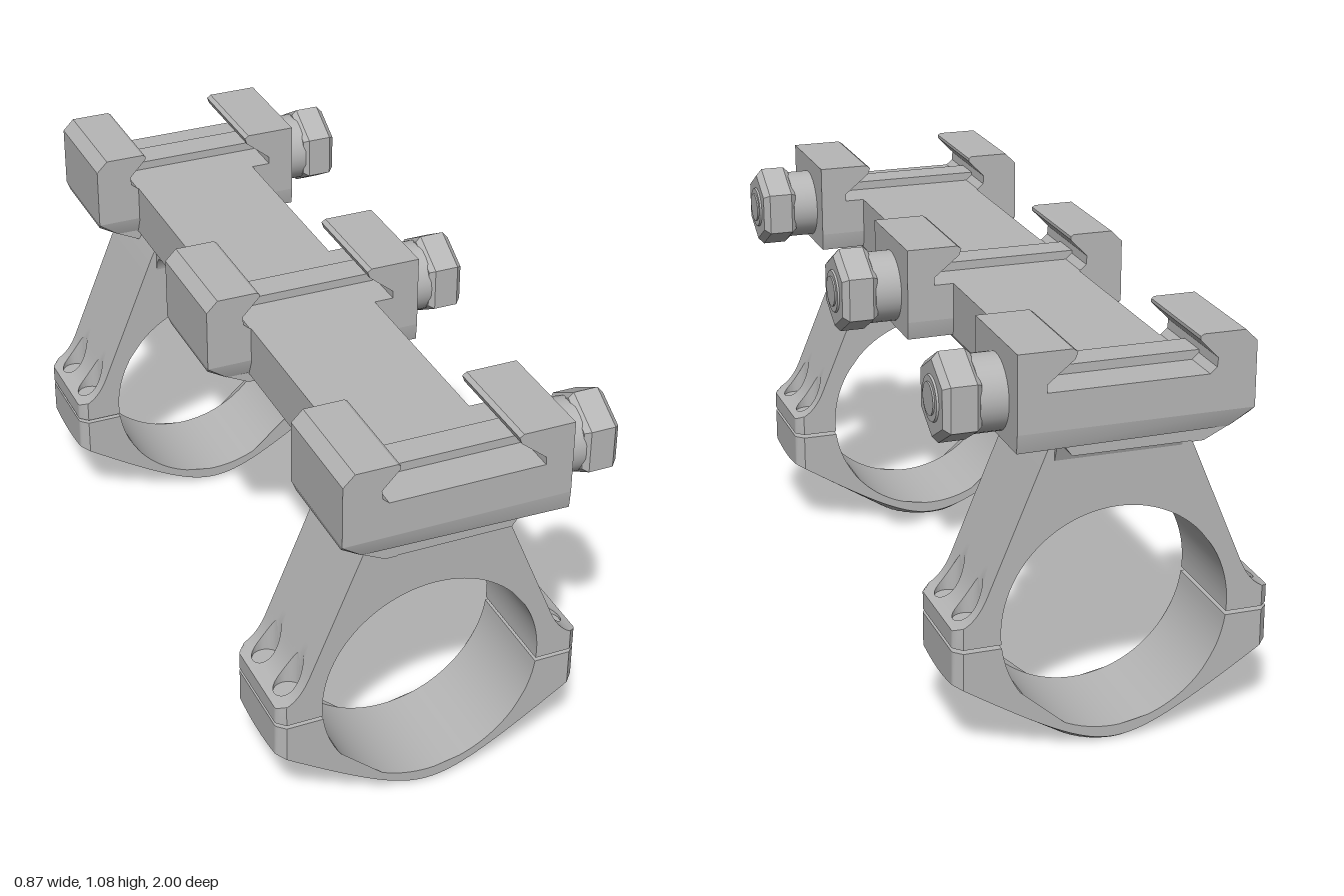
import * as THREE from 'three';
import { toCreasedNormals } from 'three/addons/utils/BufferGeometryUtils.js';

const RING_X = -0.023, RING_Y = 0.333, BORE = 0.295, EAR = 0.412, WIDTH = 0.28;
const HOLE = { x: 0.357, z: 0.07, r: 0.037 };

const shapeOf = pts => new THREE.Shape(pts.map(p => new THREE.Vector2(p[0], p[1])));

// Extrusion along z, centred on z = 0
function extrude(pts, depth, steps = 1) {
  const g = new THREE.ExtrudeGeometry(shapeOf(pts), { depth, steps, bevelEnabled: false });
  return g.translate(0, 0, -depth / 2);
}

// Height of the sloping arm above the ear
function armHeight(x) {
  if (x <= 0.332) return 0.43 + (0.332 - x) * 2.39;
  const t = (EAR - x) / 0.08;
  return 0.352 + 0.03 * t + 0.048 * t ** 3;
}

// Conical underside of the lower cap
const capHeight = (x, z) => Math.max(0, (Math.hypot(x, z) - 0.128) * 0.687);

// x samples from the ear inward, dense where the screw holes are
function samples(end, n) {
  const out = [];
  for (let i = 0; i <= 18; i++) out.push(EAR - i * 0.0062);
  const start = out[18];
  for (let i = 1; i <= n; i++) out.push(start + (end - start) * i / n);
  return out;
}

// Half ring: outer chain mirrored in x, closed by the bore arc
function halfRing(chain, splitY, top, height, floorY) {
  const inner = Math.sqrt(BORE ** 2 - (RING_Y - splitY) ** 2);
  const right = [[inner, splitY], [EAR, splitY], ...chain];
  const left = right.map(([x, y]) => [-x, y]).reverse().filter(p => Math.abs(p[0]) > 1e-6);
  const a = Math.asin((splitY - RING_Y) / BORE);
  const from = Math.PI - a, to = top ? a : 2 * Math.PI + a;
  const arc = [];
  for (let i = 1; i < 48; i++) {
    const t = from + (to - from) * i / 48;
    arc.push([Math.cos(t) * BORE, RING_Y + Math.sin(t) * BORE]);
  }
  const geo = extrude([...right, ...left, ...arc], WIDTH, 56);
  const p = geo.attributes.position, band = 0.0085;
  for (let i = 0; i < p.count; i++) {
    const s = Math.sign(p.getX(i)) || 1;
    let x = Math.abs(p.getX(i)), y = p.getY(i), z = p.getZ(i);
    const onSlope = Math.abs(y - height(x, 0)) < 1e-4 && (!top || x > 0.18);
    // chamfer the ear corners
    x = Math.min(x, EAR - Math.max(0, Math.abs(z) - 0.118));
    if (onSlope) {
      if (!top) y = height(x, z);
      // sink the screw holes, snapping the nearby vertices to the rim
      const zc = Math.sign(z) * HOLE.z;
      const dx = x - HOLE.x, dz = z - zc, d = Math.hypot(dx, dz);
      if (d < HOLE.r + band) {
        const inside = d < HOLE.r;
        if (Math.abs(d - HOLE.r) < band) {
          const k = HOLE.r * (inside ? 1 : 1.01) / d;
          x = HOLE.x + dx * k;
          z = zc + dz * k;
        }
        y = inside ? floorY : height(x, z);
      }
    }
    p.setXYZ(i, s * x, y, z);
  }
  return toCreasedNormals(geo, 0.5);
}

export function createModel() {
  const model = new THREE.Group();
  const metal = new THREE.MeshStandardMaterial({ color: 0xb6b6b6 });
  metal.name = 'grey metal';

  function add(parent, name, geo, x = 0, y = 0, z = 0) {
    const m = new THREE.Mesh(geo, metal);
    m.name = name;
    m.position.set(x, y, z);
    parent.add(m);
    return m;
  }
  // Cylinder or other y-axis shape turned to point along +x
  const alongX = g => g.rotateZ(-Math.PI / 2);

  // Long bar joining the clamps
  add(model, 'bar', extrude([
    [-0.2, 0.98], [-0.2, 0.835], [-0.18, 0.81], [0.13, 0.81], [0.148, 0.835], [0.148, 0.98],
  ], 1.96));

  // Ring halves, shared by both ends
  const upper = halfRing(
    [...samples(0.177, 6).map(x => [x, armHeight(x)]), [0.165, 0.825], [0.17, 0.85]],
    0.305, true, armHeight, 0.352);
  const lower = halfRing(
    samples(0, 20).map(x => [x, capHeight(x, 0)]),
    0.295, false, capHeight, 0.25);

  // Flared neck between arm and bar, drawn in the z-y plane
  const neckShape = [
    [0.61, 0.76], [0.605, 0.785], [0.59, 0.803], [0.56, 0.812], [0.56, 0.85],
    [0.98, 0.85], [0.98, 0.84], [0.935, 0.828], [0.905, 0.805], [0.89, 0.765],
  ].map(([z, y]) => [0.75 - z, y]);
  const neck = toCreasedNormals(extrude(neckShape, 0.325).rotateY(Math.PI / 2), 0.5);

  for (const s of [1, -1]) {
    const ring = new THREE.Group();
    ring.name = s > 0 ? 'frontRing' : 'backRing';
    ring.position.set(RING_X, 0, 0.75 * s);
    if (s < 0) ring.rotation.y = Math.PI;
    if (s < 0) ring.position.x = RING_X;
    add(ring, 'ringArm', upper);
    add(ring, 'ringCap', lower);
    add(ring, 'neck', neck, 0, 0, 0);
    for (const x of [-HOLE.x, HOLE.x]) for (const z of [-HOLE.z, HOLE.z])
      add(ring, 'screwShaft', new THREE.CylinderGeometry(0.036, 0.036, 0.03, 20), x, 0.3, z);
    model.add(ring);
  }

  // Clamp: hooked upper body and tapered base
  const clampBody = extrude([
    [-0.32, 0.885], [0.272, 0.885], [0.272, 1.08], [0.137, 1.08], [0.126, 1.072], [0.132, 1.055],
    [0.2, 1.0], [0.2, 0.98], [-0.203, 0.98], [-0.22, 0.995], [-0.222, 1.018], [-0.176, 1.066],
    [-0.176, 1.075], [-0.184, 1.08], [-0.29, 1.08], [-0.32, 1.05],
  ], 0.3);
  const clampBase = extrude([
    [-0.32, 0.885], [-0.315, 0.868], [-0.262, 0.838], [0.272, 0.838], [0.272, 0.885],
  ], 0.3);
  const bp = clampBase.attributes.position;
  for (let i = 0; i < bp.count; i++)
    if (bp.getY(i) < 0.88) bp.setZ(i, bp.getZ(i) * (bp.getX(i) > 0.2 ? 0.97 : 0.88));
  clampBase.computeVertexNormals();
  const base = toCreasedNormals(clampBase, 0.3);
  // Sloping fillet from the clamp base down to the bar
  const gusset = extrude([[-0.265, 0.845], [-0.262, 0.838], [-0.2, 0.808], [-0.17, 0.808], [-0.17, 0.845]], 0.26);

  // Hexagonal nut with chamfered ends, a point facing up
  const nut = toCreasedNormals(alongX(new THREE.LatheGeometry(
    [[0, 0], [0.1, 0], [0.113, 0.014], [0.113, 0.078], [0.095, 0.094], [0, 0.094]]
      .map(p => new THREE.Vector2(...p)), 6, Math.PI / 2)), 0.2);
  const washer = alongX(new THREE.CylinderGeometry(0.094, 0.094, 0.075, 32));
  const collar = alongX(new THREE.CylinderGeometry(0.055, 0.06, 0.012, 28));
  const stud = alongX(new THREE.CylinderGeometry(0.04, 0.04, 0.02, 24));

  for (const [name, z] of [['frontClamp', 0.85], ['middleClamp', 0], ['backClamp', -0.85]]) {
    const clamp = new THREE.Group();
    clamp.name = name;
    clamp.position.z = z;
    add(clamp, 'clampBody', clampBody);
    add(clamp, 'clampBase', base);
    add(clamp, 'clampGusset', gusset);
    add(clamp, 'crossLug', new THREE.BoxGeometry(0.42, 0.04, 0.085), -0.01, 0.983, 0);
    add(clamp, 'washer', washer, 0.303, 0.943, 0);
    add(clamp, 'nut', nut, 0.335, 0.943, 0);
    add(clamp, 'nutCollar', collar, 0.428, 0.943, 0);
    add(clamp, 'boltEnd', stud, 0.428, 0.943, 0);
    model.add(clamp);
  }
  return model;
}
